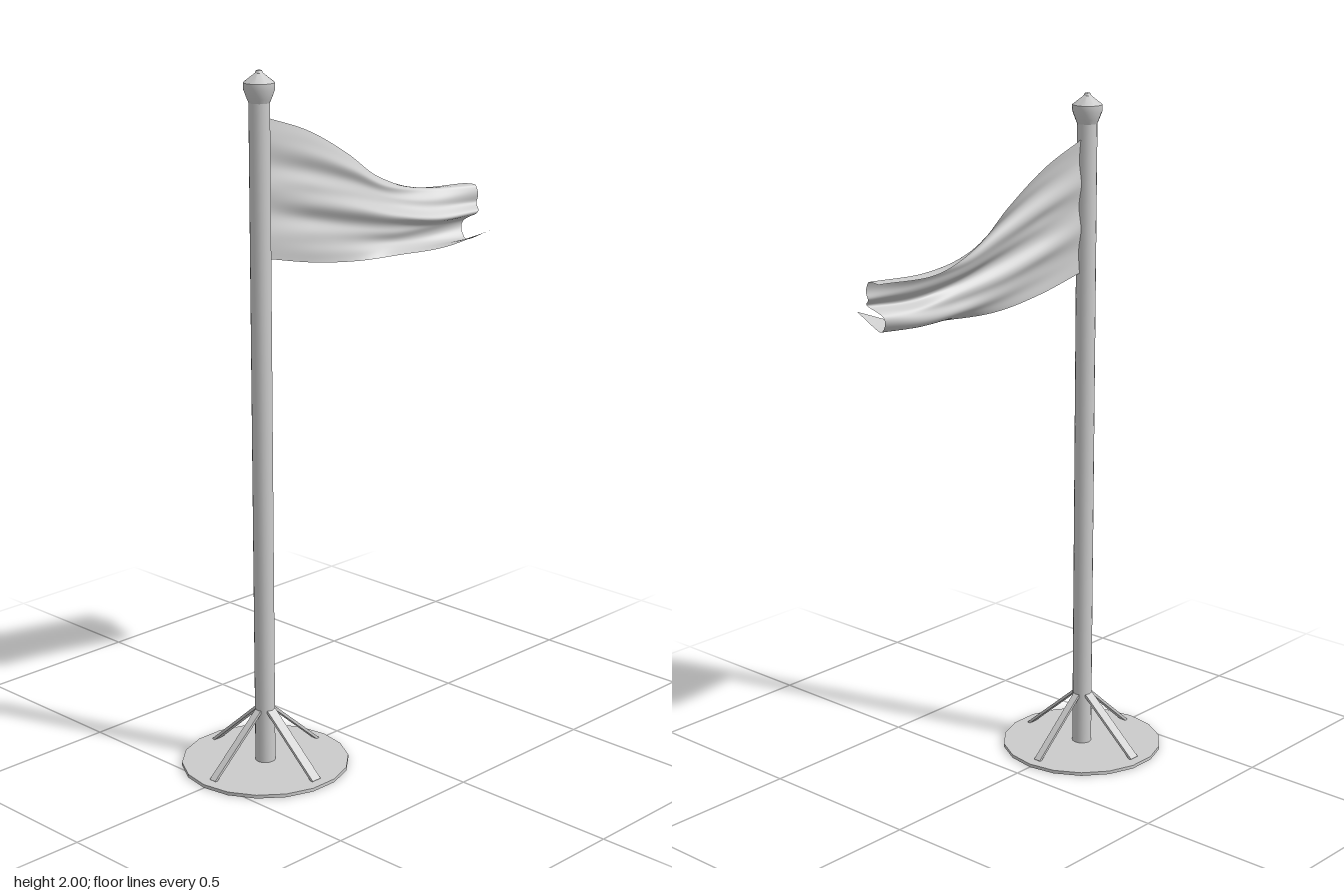
import * as THREE from 'three';
import { toCreasedNormals } from 'three/addons/utils/BufferGeometryUtils.js';

const POLE_X = -0.297;
const SIDES = 18;

// Cloth control sections from hoist to fly; each runs from top edge to bottom edge as [x, y, z]
const SECTIONS = [
  [[-0.28, 1.872, 0], [-0.28, 1.81, 0.004], [-0.28, 1.745, -0.004], [-0.28, 1.68, 0.004], [-0.28, 1.615, -0.004], [-0.28, 1.55, 0.004], [-0.28, 1.485, 0]],
  [[-0.1, 1.813, -0.014], [-0.1, 1.755, -0.002], [-0.1, 1.69, -0.01], [-0.1, 1.63, 0.007], [-0.1, 1.565, -0.007], [-0.1, 1.505, 0.006], [-0.1, 1.447, 0.006]],
  [[0.07, 1.728, -0.03], [0.07, 1.685, -0.01], [0.07, 1.635, -0.016], [0.07, 1.58, 0.01], [0.07, 1.52, -0.004], [0.07, 1.47, 0.004], [0.07, 1.426, 0.018]],
  [[0.21, 1.642, -0.043], [0.22, 1.615, -0.012], [0.22, 1.58, -0.008], [0.22, 1.535, 0.025], [0.22, 1.49, 0.012], [0.22, 1.45, 0.012], [0.21, 1.426, 0.048]],
  [[0.36, 1.59, -0.038], [0.37, 1.588, 0.005], [0.37, 1.55, 0.025], [0.37, 1.505, 0.052], [0.37, 1.48, 0.018], [0.36, 1.438, 0.025], [0.35, 1.434, 0.095]],
  [[0.535, 1.585, 0.008], [0.53, 1.583, 0.055], [0.528, 1.54, 0.06], [0.505, 1.508, 0.078], [0.49, 1.485, 0.04], [0.475, 1.436, 0.06], [0.467, 1.475, 0.163]],
];

function clothGeometry(nu, nv) {
  const rows = SECTIONS[0].map((_, r) =>
    new THREE.CatmullRomCurve3(SECTIONS.map((s) => new THREE.Vector3(...s[r]))));
  const geo = new THREE.PlaneGeometry(1, 1, nu, nv);
  const pos = geo.attributes.position;
  for (let i = 0; i <= nu; i++) {
    const u = i / nu;
    const section = new THREE.CatmullRomCurve3(rows.map((c) => c.getPoint(u)));
    for (let j = 0; j <= nv; j++) {
      const v = j / nv;
      const p = section.getPoint(v);
      // fine creases fanning along the cloth, fading at the hoist and at the edges
      const fade = Math.sin(Math.PI * v) * Math.min(1, u * 5);
      p.z += 0.0035 * fade * Math.sin(v * 34 + u * 5);
      pos.setXYZ(j * (nu + 1) + i, p.x, p.y, p.z);
    }
  }
  geo.computeVertexNormals();
  return geo;
}

export function createModel() {
  const model = new THREE.Group();
  const grey = new THREE.MeshStandardMaterial({ color: 0xcccccc });
  const cloth = new THREE.MeshStandardMaterial({ color: 0xcccccc, side: THREE.DoubleSide });

  const add = (name, geo, parent = model, mat = grey) => {
    const mesh = new THREE.Mesh(geo, mat);
    mesh.name = name;
    parent.add(mesh);
    return mesh;
  };

  const stand = new THREE.Group();
  stand.name = 'stand';
  stand.position.x = POLE_X;
  model.add(stand);

  // Thin round base with a corner on the x axis
  const base = new THREE.CylinderGeometry(0.241, 0.241, 0.01, SIDES, 1, false, Math.PI / 2);
  add('basePlate', toCreasedNormals(base, 0.5), stand).position.y = 0.005;

  // Pole
  add('pole', new THREE.CylinderGeometry(0.029, 0.029, 1.91, SIDES), stand).position.y = 0.96;

  // Finial
  const profile = [
    [0.029, 1.912], [0.034, 1.924], [0.043, 1.948], [0.043, 1.966], [0.011, 1.991], [0.008, 1.998], [0, 2],
  ].map(([r, y]) => new THREE.Vector2(r, y));
  add('finial', toCreasedNormals(new THREE.LatheGeometry(profile, SIDES), 0.5), stand);

  // Four flat braces leaning from the base to the pole
  const foot = new THREE.Vector2(0.206, 0.009);
  const head = new THREE.Vector2(0.024, 0.168);
  for (let i = 0; i < 4; i++) {
    const arm = new THREE.Group();
    arm.name = 'braceArm';
    arm.rotation.y = (i * Math.PI) / 2;
    stand.add(arm);
    const width = i % 2 ? 0.031 : 0.022;
    const brace = add('brace', new THREE.BoxGeometry(0.008, foot.distanceTo(head), width), arm);
    brace.position.set((foot.x + head.x) / 2, (foot.y + head.y) / 2, 0);
    brace.rotation.z = Math.atan2(foot.x - head.x, head.y - foot.y);
  }

  // Flag
  add('flag', clothGeometry(56, 64), model, cloth);
  return model;
}
